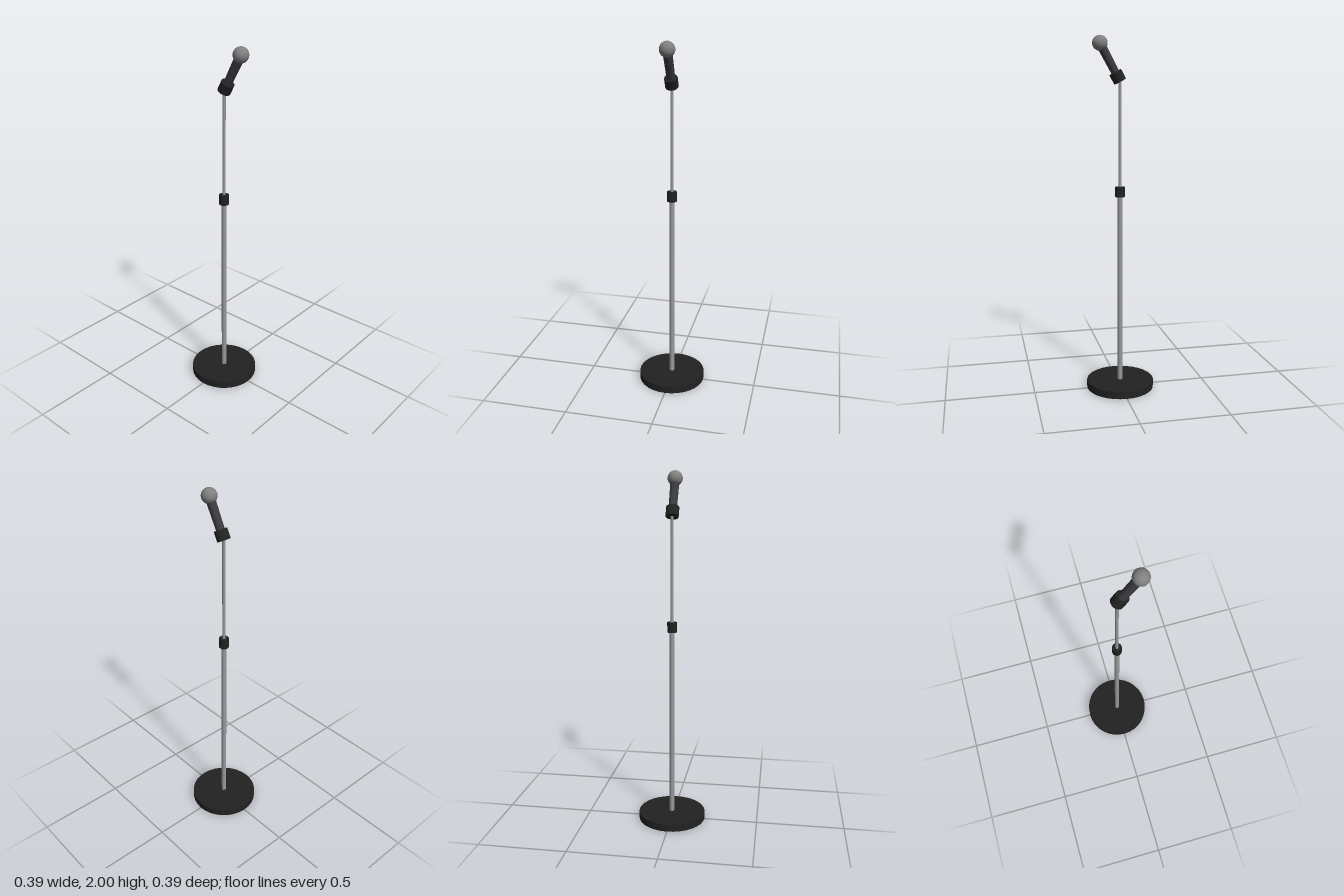
import * as THREE from 'three';

export function createModel() {
  const model = new THREE.Group();
  model.name = 'microphoneStand';
  const mat = (color) => new THREE.MeshStandardMaterial({ color });
  const black = mat(0x222222), steel = mat(0x999999), graphite = mat(0x3a3a40), grille = mat(0x808080);

  // Upright cylinder spanning y0..y1 in its parent
  function rod(parent, name, rTop, rBottom, y0, y1, material, sides = 24) {
    const mesh = new THREE.Mesh(new THREE.CylinderGeometry(rTop, rBottom, y1 - y0, sides), material);
    mesh.name = name;
    mesh.position.y = (y0 + y1) / 2;
    parent.add(mesh);
    return mesh;
  }

  // Stand
  rod(model, 'base', 0.193, 0.193, 0, 0.042, black, 32);
  rod(model, 'lowerPole', 0.014, 0.014, 0.002, 1.14, steel);
  rod(model, 'heightCollar', 0.027, 0.027, 1.12, 1.177, black);
  rod(model, 'upperPole', 0.009, 0.009, 1.14, 1.77, steel);

  // Microphone, tilted forward about the clip
  const microphone = new THREE.Group();
  microphone.name = 'microphone';
  microphone.position.set(0, 1.78, 0.013);
  microphone.rotation.x = 0.5;
  model.add(microphone);
  rod(microphone, 'clip', 0.036, 0.036, -0.028, 0.028, black);
  rod(microphone, 'handle', 0.025, 0.022, -0.02, 0.18, graphite);

  const head = new THREE.Mesh(new THREE.SphereGeometry(0.042, 32, 20), grille);
  head.name = 'grilleBall';
  head.position.y = 0.203;
  microphone.add(head);

  return model;
}
